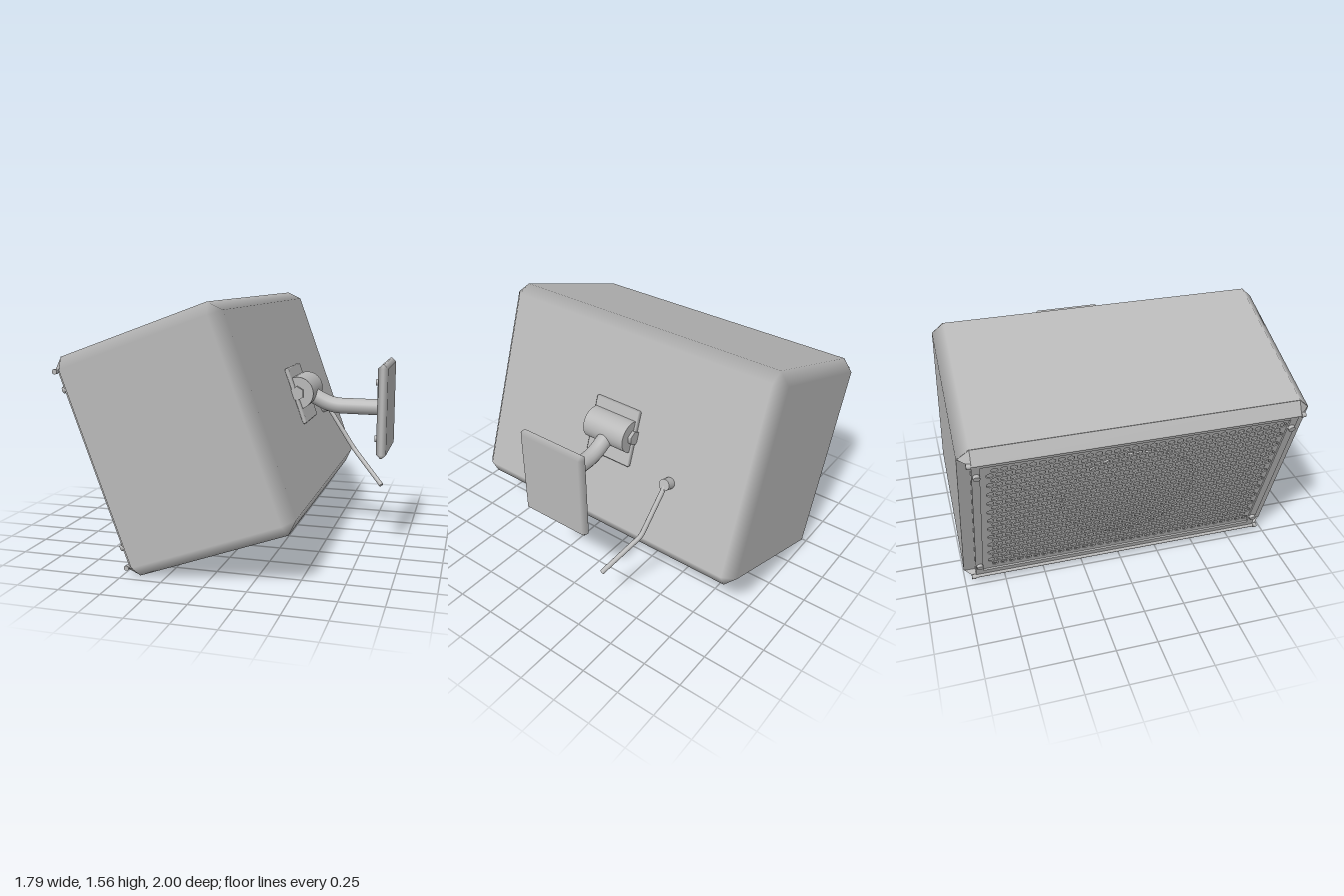
import * as THREE from 'three';
import { ConvexGeometry } from 'three/addons/geometries/ConvexGeometry.js';

const grey = new THREE.MeshStandardMaterial({ color: 0xb8b8b8 });
grey.name = 'grey';

function add(parent, name, geometry, x = 0, y = 0, z = 0) {
  const mesh = new THREE.Mesh(geometry, grey);
  mesh.name = name;
  mesh.position.set(x, y, z);
  parent.add(mesh);
  return mesh;
}

// Box with bevelled edges whose normals blend smoothly between the faces.
function bevelBox(w, h, d, c, squareFront = false) {
  const half = [w / 2, h / 2, d / 2], pos = [], nor = [], index = [];
  const sign = (bits, axis) => (bits >> axis & 1 ? 1 : -1);
  for (let a = 0; a < 3; a++) for (let bits = 0; bits < 8; bits++) for (let k = 0; k < 3; k++) {
    const s = sign(bits, k);
    const inset = k === a || (squareFront && k === 0 && s < 0) ? 0 : c;
    pos.push(s * (half[k] - inset));
    nor.push(k === a ? s : 0);
  }
  const point = i => new THREE.Vector3().fromArray(pos, i * 3);
  const tri = (i, j, k) => {
    const p = point(i), q = point(j), r = point(k);
    const n = q.clone().sub(p).cross(r.clone().sub(p));
    index.push(...(n.dot(p.add(q).add(r)) > 0 ? [i, j, k] : [i, k, j]));
  };
  const quad = (i, j, k, l) => { tri(i, j, k); tri(i, k, l); };
  for (let a = 0; a < 3; a++) {
    const b = (a + 1) % 3, e = (a + 2) % 3, B = 1 << b, E = 1 << e;
    for (const s of [0, 1 << a]) {
      const o = a * 8 + s;
      quad(o, o + B, o + B + E, o + E);
      for (const t of [0, B]) {
        const f = a * 8 + s + t, g = b * 8 + s + t;
        quad(f, g, g + E, f + E);
      }
    }
  }
  for (let bits = 0; bits < 8; bits++) tri(bits, 8 + bits, 16 + bits);
  const geo = new THREE.BufferGeometry();
  geo.setAttribute('position', new THREE.Float32BufferAttribute(pos, 3));
  geo.setAttribute('normal', new THREE.Float32BufferAttribute(nor, 3));
  geo.setIndex(index);
  return geo;
}

const rod = (r, length, axis, sides = 20) => {
  const geo = new THREE.CylinderGeometry(r, r, length, sides);
  if (axis === 'x') geo.rotateZ(-Math.PI / 2);
  if (axis === 'z') geo.rotateX(Math.PI / 2);
  return geo;
};

// Outline drawn in (z, y), extruded towards the front (-x).
const frontPlate = (shape, depth) =>
  new THREE.ExtrudeGeometry(shape, { depth, bevelEnabled: false }).rotateY(-Math.PI / 2);

const polygon = points => new THREE.Shape(points.map(p => new THREE.Vector2(...p)));

// Tube through points with tight bends.
function bentTube(points, radius, bend) {
  const v = points.map(p => new THREE.Vector3(...p));
  const path = new THREE.CurvePath();
  let from = v[0];
  for (let i = 1; i < v.length - 1; i++) {
    const before = v[i].clone().add(v[i - 1].clone().sub(v[i]).setLength(bend));
    const after = v[i].clone().add(v[i + 1].clone().sub(v[i]).setLength(bend));
    path.add(new THREE.LineCurve3(from, before));
    path.add(new THREE.QuadraticBezierCurve3(before, v[i], after));
    from = after;
  }
  path.add(new THREE.LineCurve3(from, v[v.length - 1]));
  return new THREE.TubeGeometry(path, 48, radius, 16);
}

export function createModel() {
  const model = new THREE.Group();
  model.name = 'wallSpeaker';

  // Everything fixed to the cabinet tilts with it
  const speaker = new THREE.Group();
  speaker.name = 'tiltedSpeaker';
  speaker.rotation.z = THREE.MathUtils.degToRad(20);
  model.add(speaker);

  const front = -0.375, back = 0.615, midY = 0.797, halfH = 0.66, c = 0.07;
  add(speaker, 'cabinet', bevelBox(back - front, halfH * 2, 2, c, true), (front + back) / 2, midY, 0);

  // Flat front baffle
  const corners = [[0.93, -halfH], [1, -halfH + c], [1, halfH - c], [0.93, halfH],
    [-0.93, halfH], [-1, halfH - c], [-1, -halfH + c], [-0.93, -halfH]];
  add(speaker, 'frontBaffle', frontPlate(polygon(corners), 0.003), front, midY, 0);
  add(speaker, 'driverRing', rod(0.41, 0.012, 'x', 40), front - 0.007, midY, 0);

  // Bevelled lips, rails and frame bars above and below the grille
  for (const s of [1, -1]) {
    const lip = [];
    for (const z of [1, -1]) lip.push(
      new THREE.Vector3(front, s * halfH, z * 0.93),
      new THREE.Vector3(front, s * (halfH - c), z),
      new THREE.Vector3(-0.44, s * (halfH - c + 0.008), z * 0.93));
    add(speaker, s > 0 ? 'topLip' : 'bottomLip', new ConvexGeometry(lip), 0, midY, 0);
    add(speaker, 'frameRail', new THREE.BoxGeometry(0.04, 0.045, 1.86), -0.405, midY + s * 0.57, 0);
    add(speaker, 'railRod', rod(0.01, 1.88, 'z', 10), -0.432, midY + s * 0.592, 0);
    add(speaker, 'frameSide', new THREE.BoxGeometry(0.04, 1.1, 0.045), -0.405, midY, s * 0.9075);
    for (const z of [0.945, -0.945])
      add(speaker, 'railEnd', rod(0.015, 0.025, 'z', 12), -0.432, midY + s * 0.592, z);
    for (const z of [0.905, -0.905])
      add(speaker, 'frameScrew', rod(0.02, 0.02, 'x', 12), -0.435, midY + s * 0.48, z);
  }

  // Perforated grille with staggered hexagonal holes
  const sheet = polygon([[-0.89, -0.55], [0.89, -0.55], [0.89, 0.55], [-0.89, 0.55]]);
  const step = 0.052, rowStep = step * 0.866, r = 0.021;
  for (let j = -11; j <= 11; j++) for (let i = -16; i <= 16; i++) {
    const x = (i + (j & 1 ? 0.5 : 0)) * step, y = j * rowStep, hole = [];
    for (let k = 0; k < 6; k++) {
      const a = (k + 0.5) * Math.PI / 3;
      hole.push(new THREE.Vector2(x + r * Math.cos(a), y + r * Math.sin(a)));
    }
    sheet.holes.push(new THREE.Path(hole));
  }
  add(speaker, 'grille', frontPlate(sheet, 0.008), -0.406, midY, 0);

  // Bracket foot and cable socket on the back
  add(speaker, 'bracketFoot', bevelBox(0.028, 0.36, 0.33, 0.008), 0.628, 0.785, -0.005);
  add(speaker, 'cableSocket', rod(0.036, 0.06, 'x', 20), 0.645, 0.615, -0.46);

  // Swivel joint with hexagonal bolts
  const bracketZ = -0.005;
  add(model, 'swivelJoint', rod(0.1, 0.3, 'z', 36), 0.33, 0.97, bracketZ);
  add(model, 'swivelBolt', rod(0.045, 0.345, 'z', 6), 0.33, 0.97, bracketZ);

  // Bent arm to the wall plate
  add(model, 'arm', bentTube([[0.35, 0.965, bracketZ], [0.52, 0.88, bracketZ], [0.85, 0.88, bracketZ]], 0.05, 0.07));
  add(model, 'wallPlate', bevelBox(0.06, 0.57, 0.47, 0.025), 0.86, 0.885, bracketZ);
  for (const y of [0.71, 1.055]) for (const z of [-0.15, 0.14])
    add(model, 'wallScrew', rod(0.02, 0.025, 'x', 14), 0.825, y, z);

  // Cable
  const cable = [[0.41, 0.8, -0.46], [0.6, 0.52, -0.425], [0.81, 0.31, -0.29]];
  add(model, 'cable', bentTube(cable, 0.015, 0.03));
  const tip = add(model, 'cableEnd', new THREE.CircleGeometry(0.015, 16), ...cable[2]);
  tip.lookAt(1.02, 0.1, -0.155);

  return model;
}
